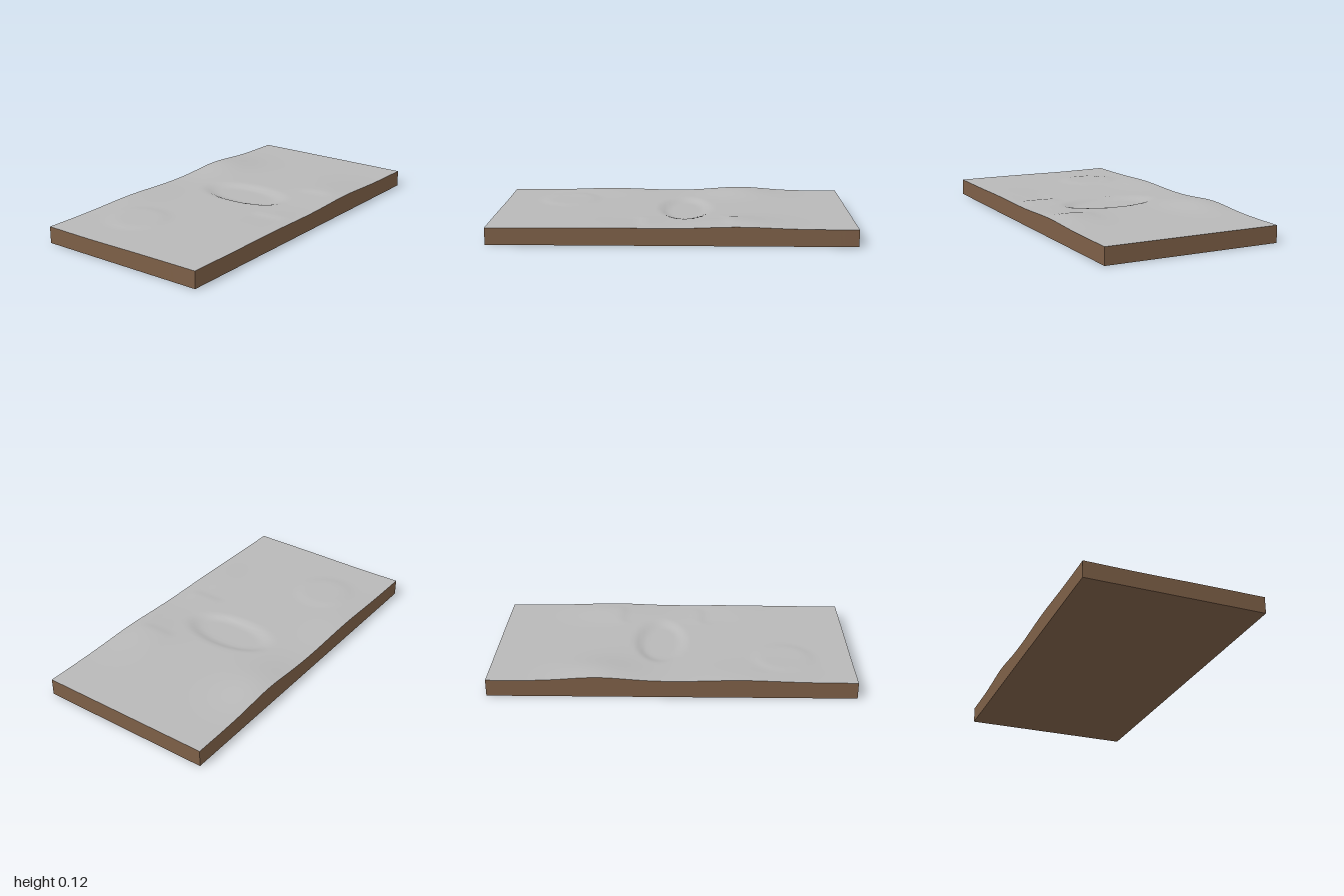
import * as THREE from 'three';

const W = 1, L = 2, NX = 40, NZ = 80;

const smooth = (a, b, v) => THREE.MathUtils.smoothstep(v, a, b);
const hill = (x, z, cx, cz, rx, rz, h) =>
  h * Math.exp(-(((x - cx) / rx) ** 2) - ((z - cz) / rz) ** 2);

// small step falling towards +z, easing back to level on both sides
function step(x, z, z0, h) {
  const across = smooth(0.23, 0.26, x) * (1 - smooth(0.41, 0.45, x));
  const d = z - z0;
  const along = d < 0 ? smooth(-0.25, -0.015, d) : smooth(-0.25, -0.015, -d) * -1;
  const blend = Math.abs(d) < 0.015 ? -d / 0.015 : along;
  return across * h * blend;
}

// ground height at any point of the slab
function height(x, z) {
  let y = 0.094;
  y += hill(x, z, -0.41, -0.4, 0.17, 0.22, 0.028);
  y += hill(x, z, 0.39, -0.36, 0.16, 0.24, 0.018);
  y += hill(x, z, -0.46, 0.38, 0.16, 0.25, 0.011);
  y += hill(x, z, 0.42, 0.35, 0.15, 0.25, 0.005);
  y += hill(x, z, 0, -0.45, 0.25, 0.3, 0.004);
  y -= hill(x, z, -0.2, 0.95, 0.25, 0.3, 0.003);
  // oval hollow with a flat floor
  const oval = Math.hypot(x / 0.29, (z + 0.07) / 0.15);
  y -= 0.018 * (1 - smooth(0.66, 1.02, oval));
  // low round mound
  const round = Math.hypot(x + 0.21, z - 0.62);
  y += 0.006 * (1 - smooth(0.12, 0.19, round));
  // two short ledges
  y += step(x, z, -0.3, 0.003) + step(x, z, 0.17, 0.003);
  return y;
}

// upright wall from the floor to the ground, along the line a to b
function wall(name, a, b, n, material) {
  const pos = [], index = [];
  for (let i = 0; i <= n; i++) {
    const x = THREE.MathUtils.lerp(a[0], b[0], i / n);
    const z = THREE.MathUtils.lerp(a[1], b[1], i / n);
    pos.push(x, 0, z, x, height(x, z), z);
    if (i < n) {
      const k = i * 2;
      index.push(k, k + 2, k + 1, k + 1, k + 2, k + 3);
    }
  }
  const geo = new THREE.BufferGeometry();
  geo.setAttribute('position', new THREE.Float32BufferAttribute(pos, 3));
  geo.setIndex(index);
  geo.computeVertexNormals();
  const mesh = new THREE.Mesh(geo, material);
  mesh.name = name;
  return mesh;
}

export function createModel() {
  const group = new THREE.Group();
  group.name = 'terrainSlab';
  const ground = new THREE.MeshStandardMaterial({ color: 0xb8b8b8 });
  ground.name = 'groundGrey';
  const earth = new THREE.MeshStandardMaterial({ color: 0x7d5f47 });
  earth.name = 'earthBrown';

  // rolling ground surface
  const top = new THREE.PlaneGeometry(W, L, NX, NZ).rotateX(-Math.PI / 2);
  const p = top.attributes.position;
  for (let i = 0; i < p.count; i++) p.setY(i, height(p.getX(i), p.getZ(i)));
  top.computeVertexNormals();
  const surface = new THREE.Mesh(top, ground);
  surface.name = 'groundSurface';
  group.add(surface);

  // earth walls, counter-clockwise seen from above
  const x = W / 2, z = L / 2;
  group.add(
    wall('frontWall', [-x, z], [x, z], NX, earth),
    wall('leftWall', [x, z], [x, -z], NZ, earth),
    wall('backWall', [x, -z], [-x, -z], NX, earth),
    wall('rightWall', [-x, -z], [-x, z], NZ, earth)
  );

  // flat underside
  const bottom = new THREE.Mesh(new THREE.PlaneGeometry(W, L).rotateX(Math.PI / 2), earth);
  bottom.name = 'underside';
  group.add(bottom);
  return group;
}
